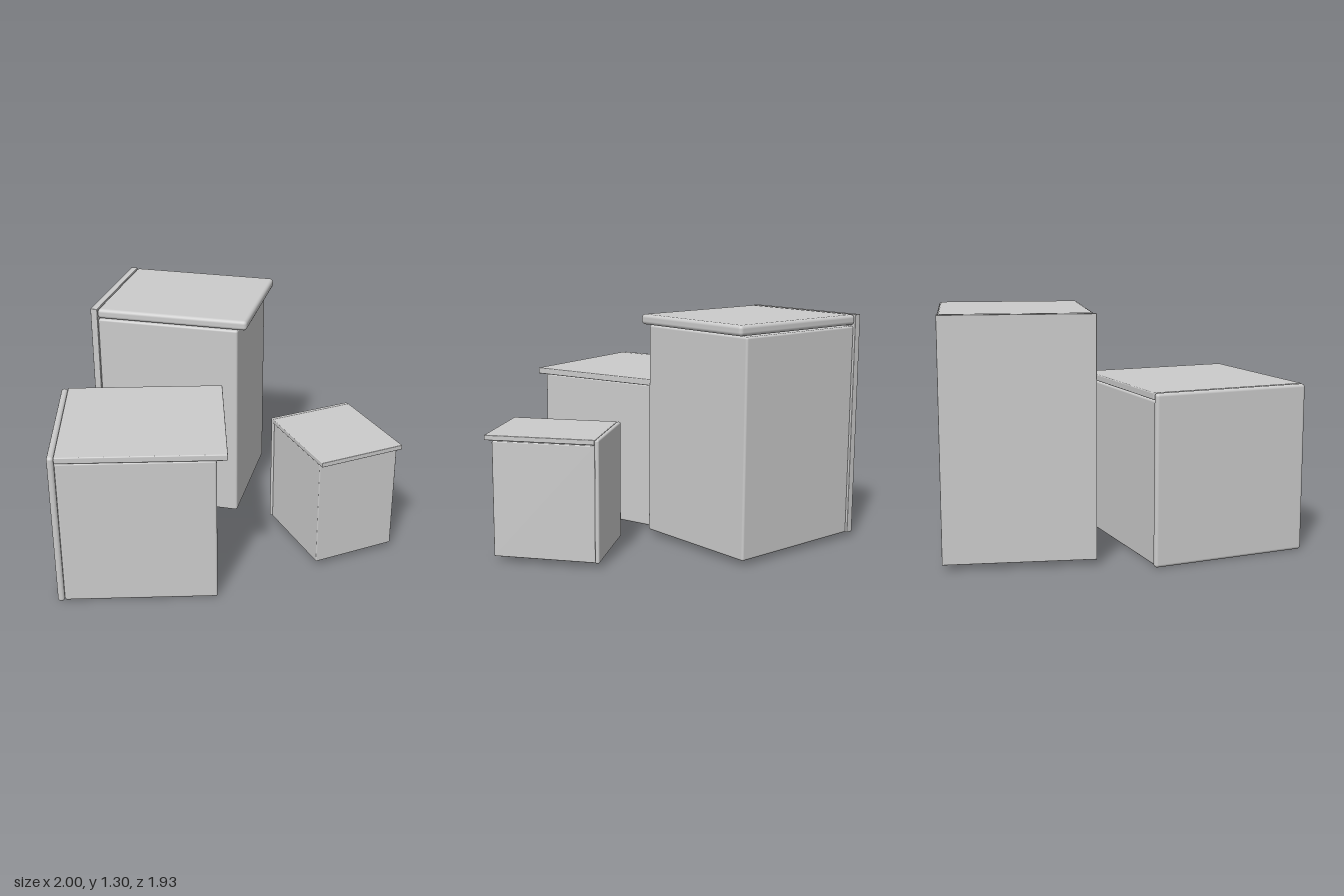
import * as THREE from 'three';
import { RoundedBoxGeometry } from 'three/addons/geometries/RoundedBoxGeometry.js';

const material = new THREE.MeshStandardMaterial({ color: 0xcccccc });

// Rounded board or box given by its minimum and maximum corners
function block(name, min, max, radius) {
  const [w, h, d] = max.map((v, i) => v - min[i]);
  const mesh = new THREE.Mesh(new RoundedBoxGeometry(w, h, d, 3, radius), material);
  mesh.name = name;
  mesh.position.set(...max.map((v, i) => (v + min[i]) / 2));
  return mesh;
}

// One cabinet: local x = 0 is the hinge line between back panel and top board
function cabinet(c) {
  const g = new THREE.Group();
  g.name = c.name;
  const h = c.depth / 2, hb = h - c.inset;
  g.add(
    block('body', [0, c.bottom, -hb], [c.width - c.overhang, c.bodyTop, hb], c.bodyRadius),
    block('topBoard', [0, c.lidBottom, -h], [c.width, c.top, h], c.lidRadius),
    block('backPanel', [-c.panel, c.bottom, -h], [0, c.top, h], c.panelRadius)
  );
  g.position.set(c.x, 0, c.z);
  g.rotation.y = c.turn;
  return g;
}

export function createModel() {
  const model = new THREE.Group();
  model.name = 'cabinets';
  const cabinets = [
    { name: 'tallCabinet', x: -0.863, z: -0.567, turn: 0, width: 0.91, depth: 0.797,
      bottom: 0.03, bodyTop: 1.24, lidBottom: 1.247, top: 1.305, overhang: 0.055, inset: 0.009,
      panel: 0.041, bodyRadius: 0.012, lidRadius: 0.02, panelRadius: 0.003 },
    { name: 'wideCabinet', x: -0.848, z: 0.533, turn: 0.273, width: 0.91, depth: 0.877,
      bottom: 0, bodyTop: 0.865, lidBottom: 0.871, top: 0.908, overhang: 0.058, inset: 0.015,
      panel: 0.038, bodyRadius: 0.012, lidRadius: 0.006, panelRadius: 0.017 },
    { name: 'smallCabinet', x: 0.42, z: -0.32, turn: -0.907, width: 0.609, depth: 0.52,
      bottom: 0.03, bodyTop: 0.672, lidBottom: 0.677, top: 0.705, overhang: 0.04, inset: 0.008,
      panel: 0.024, bodyRadius: 0.006, lidRadius: 0.004, panelRadius: 0.009 },
  ];
  for (const c of cabinets) model.add(cabinet(c));
  return model;
}
